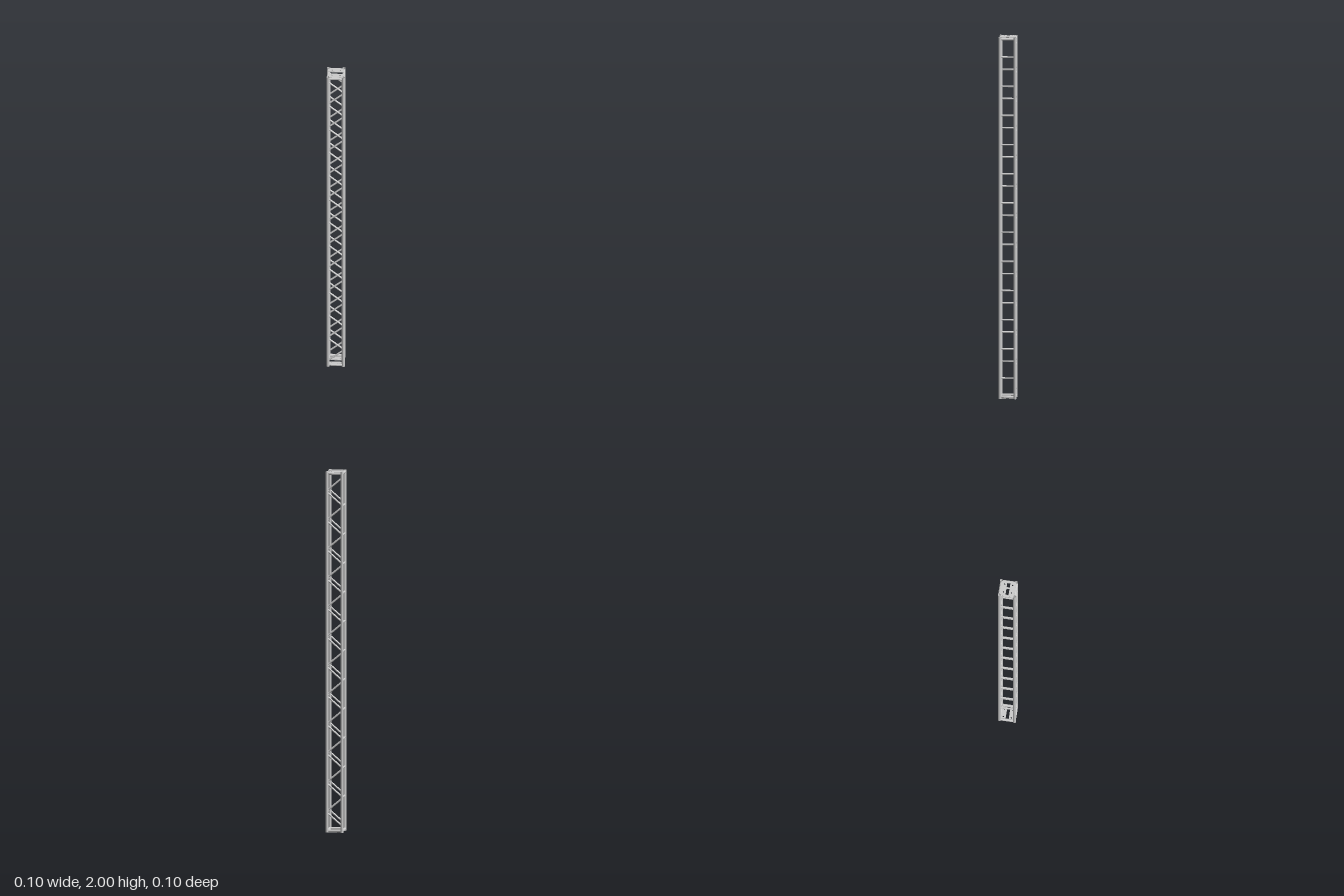
import * as THREE from 'three';
import { toCreasedNormals } from 'three/addons/utils/BufferGeometryUtils.js';

const HEIGHT = 2;
const C = 0.0415;      // chord axis offset in x and z
const CHORD_R = 0.0085;
const CHORD_IN = 0.0078;
const WEB_R = 0.005;   // diagonals and rungs
const END_R = 0.0075;  // end frame bars
const REACH = C - 0.0075; // where a bar meets the chord wall
const NODES = 23, FIRST = 0.115, STEP = 0.0807;

export function createModel() {
  const model = new THREE.Group();
  const mat = new THREE.MeshStandardMaterial({ color: 0xcccccc, side: THREE.DoubleSide });

  const add = (name, geo, x, y, z, turn = 0) => {
    const mesh = new THREE.Mesh(geo, mat);
    mesh.name = name;
    mesh.position.set(x, y, z);
    mesh.rotation.y = turn;
    model.add(mesh);
    return mesh;
  };

  // Round bar along x, sheared to a slope so its ends stay vertical
  const bar = (r, rise = 0) => {
    const slope = rise / (2 * C);
    const geo = new THREE.CylinderGeometry(r, r, 2 * REACH, 16).rotateZ(Math.PI / 2);
    geo.scale(1, Math.hypot(1, slope), 1);
    const p = geo.attributes.position;
    for (let i = 0; i < p.count; i++) p.setY(i, p.getY(i) + slope * p.getX(i));
    return toCreasedNormals(geo, 0.6);
  };

  // Four hollow corner chords
  const profile = [
    [CHORD_IN, 0], [CHORD_R, 0], [CHORD_R, HEIGHT], [CHORD_IN, HEIGHT], [CHORD_IN, 0],
  ].map(([x, y]) => new THREE.Vector2(x, y));
  const chord = toCreasedNormals(new THREE.LatheGeometry(profile, 24), 0.6);
  for (const sx of [-1, 1]) for (const sz of [-1, 1]) add('cornerChord', chord, sx * C, 0, sz * C);

  // Rungs join front and back chords, alternating between the two sides
  const rung = bar(WEB_R);
  for (let i = 0; i < NODES; i++) {
    add('sideRung', rung, i % 2 ? -C : C, FIRST + i * STEP, 0, Math.PI / 2);
  }

  // Zigzag diagonals on the front and back faces
  const rise = STEP - 0.01;
  const rising = bar(WEB_R, rise), falling = bar(WEB_R, -rise);
  for (let i = 0; i <= NODES; i++) {
    const y = FIRST + (i - 0.5) * STEP;
    for (const sz of [-1, 1]) add('diagonalBrace', i % 2 ? falling : rising, 0, y, sz * C);
  }

  // Half end plate: chamfered outer corners and two bolt holes
  const half = new THREE.Shape([
    [-0.043, 0.0085], [0.043, 0.0085], [0.043, 0.032],
    [0.034, 0.041], [-0.034, 0.041], [-0.043, 0.032],
  ].map(([x, y]) => new THREE.Vector2(x, y)));
  for (const sx of [-1, 1]) {
    half.holes.push(new THREE.Path().absarc(sx * 0.0225, 0.0225, 0.004, 0, Math.PI * 2, true));
  }
  const plate = new THREE.ExtrudeGeometry(half, { depth: 0.004, bevelEnabled: false, curveSegments: 12 });
  plate.rotateX(-Math.PI / 2).translate(0, -0.002, 0);

  // End frames with a pair of plates at the bottom and the top
  const endBar = bar(END_R);
  for (const [barY, plateY] of [[0.0105, 0.003], [HEIGHT - 0.0105, HEIGHT - 0.003]]) {
    for (const s of [-1, 1]) {
      add('endBar', endBar, 0, barY, s * C);
      add('endBar', endBar, s * C, barY, 0, Math.PI / 2);
      add('endPlate', plate, 0, plateY, 0, s > 0 ? Math.PI : 0);
    }
  }
  return model;
}
